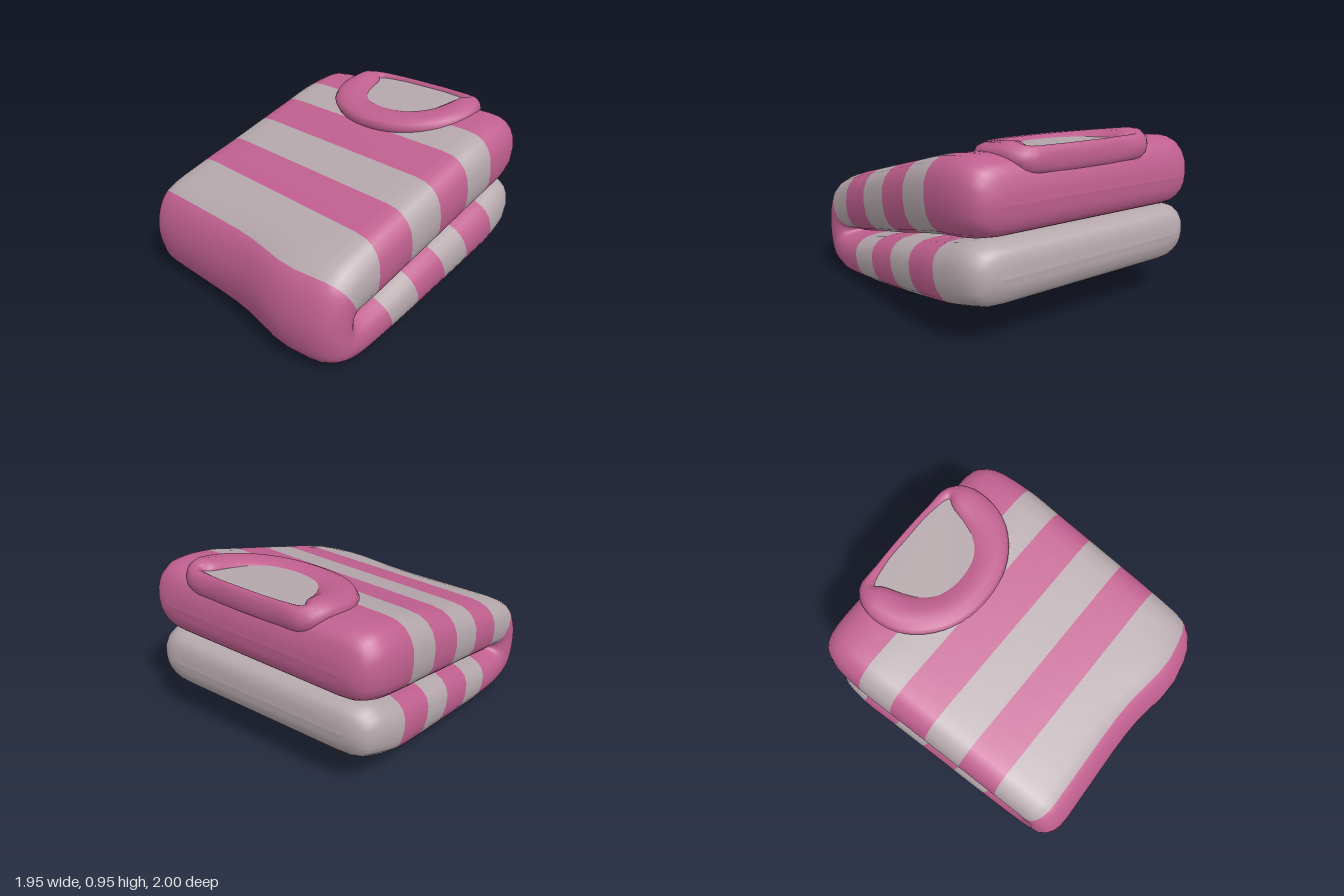
import * as THREE from 'three';

const pink = new THREE.MeshStandardMaterial({ color: 0xc0608f });
pink.name = 'pinkKnit';
const grey = new THREE.MeshStandardMaterial({ color: 0xb5a8ac });
grey.name = 'greyKnit';
const { smoothstep, lerp } = THREE.MathUtils;

// Joins rings of points into a smooth skin; colourOf(i) picks the material of each band
function loft(rings, closed, colourOf) {
  const n = rings[0].length, index = [];
  const geo = new THREE.BufferGeometry();
  const bands = closed ? rings.length : rings.length - 1;
  for (let i = 0; i < bands; i++) {
    const next = (i + 1) % rings.length;
    geo.addGroup(index.length, n * 6, colourOf(i));
    for (let j = 0; j < n; j++) {
      const k = (j + 1) % n;
      const a = i * n + j, b = next * n + j, c = next * n + k, d = i * n + k;
      index.push(a, b, c, a, c, d);
    }
  }
  geo.setFromPoints(rings.flat());
  geo.setIndex(index);
  geo.computeVertexNormals();
  return geo;
}

// Fold stations: outer z, outer y, inner z, inner y, half width, colour (0 pink, 1 grey)
const stations = [
  [-0.80, 0.37, -0.80, 0.37, 0.53, 1],
  [-0.79, 0.30, -0.79, 0.45, 0.61, 1],
  [-0.75, 0.235, -0.76, 0.50, 0.67, 1],
  [-0.67, 0.21, -0.68, 0.525, 0.71, 1],
  [-0.57, 0.185, -0.49, 0.475, 0.73, 0],
  [-0.36, 0.14, -0.26, 0.42, 0.73, 1],
  [-0.17, 0.105, -0.06, 0.38, 0.73, 0],
  [0.06, 0.065, 0.15, 0.33, 0.73, 1],
  [0.26, 0.035, 0.36, 0.275, 0.73, 0],
  [0.55, 0.008, 0.48, 0.255, 0.73, 0],
  [0.72, 0.06, 0.52, 0.255, 0.73, 0],
  [0.775, 0.20, 0.53, 0.26, 0.73, 0],
  [0.765, 0.37, 0.53, 0.265, 0.73, 0],
  [0.69, 0.51, 0.52, 0.27, 0.73, 1],
  [0.41, 0.625, 0.41, 0.285, 0.73, 0],
  [0.19, 0.69, 0.16, 0.345, 0.73, 1],
  [-0.03, 0.755, -0.06, 0.395, 0.73, 0],
  [-0.255, 0.82, -0.28, 0.45, 0.73, 1],
  [-0.455, 0.875, -0.48, 0.495, 0.73, 0],
  [-0.66, 0.90, -0.67, 0.53, 0.71, 0],
  [-0.75, 0.865, -0.755, 0.56, 0.67, 0],
  [-0.79, 0.78, -0.79, 0.62, 0.61, 0],
  [-0.80, 0.70, -0.80, 0.70, 0.53, 0],
];

// Cloth irregularity: askew stripes, a bulge in the front fold, a top that leans to one side
function relax(p) {
  const front = smoothstep(p.z, 0.45, 0.75);
  const bulge = 0.06 * Math.exp(-(((p.x - 0.42) / 0.25) ** 2)) - 0.02;
  p.z += 0.04 * p.x * smoothstep(p.z, -0.8, -0.4) * (1 - front) + bulge * front;
  p.y += (0.025 * p.x - 0.008) * smoothstep(p.y, 0.3, 0.7);
  return p;
}

// Folded body: flat rounded sections between the outer and inner fold lines
function foldedBody() {
  const outer = new THREE.CatmullRomCurve3(stations.map(s => new THREE.Vector3(s[4], s[1], s[0])));
  const inner = new THREE.CatmullRomCurve3(stations.map(s => new THREE.Vector3(s[4], s[3], s[2])));
  const steps = 4, total = (stations.length - 1) * steps, half = 10, across = 10, round = 0.17;
  const soft = v => Math.sign(v) * Math.abs(v) ** 0.8;
  const rings = [];
  for (let i = 0; i <= total; i++) {
    const o = outer.getPoint(i / total), q = inner.getPoint(i / total), ring = [];
    const flat = o.x - round;
    for (const side of [1, -1]) {
      // rounded side edge
      for (let j = 0; j <= half; j++) {
        const a = side * (j / half - 0.5) * Math.PI;
        const p = q.clone().lerp(o, 0.5 + 0.5 * soft(Math.sin(a)));
        p.x = side * (flat + round * soft(Math.max(0, Math.cos(a))));
        ring.push(relax(p));
      }
      // flat face to the other side
      for (let j = 1; j < across; j++) {
        const p = (side > 0 ? o : q).clone();
        p.x = side * lerp(flat, -flat, j / across);
        ring.push(relax(p));
      }
    }
    rings.push(ring);
  }
  return loft(rings, false, i => stations[Math.floor(i / steps)][5]);
}

// Neckline path: x, band half width, z
const right = [[0.19, 0.11, -0.365], [0.325, 0.11, -0.49], [0.365, 0.09, -0.64],
  [0.345, 0.05, -0.74], [0.2, 0.025, -0.765]];
const neckPath = new THREE.CatmullRomCurve3([
  [0, 0.11, -0.325], ...right, [0, 0.025, -0.77],
  ...right.map(([x, w, z]) => [-x, w, z]).reverse(),
].map(p => new THREE.Vector3(...p)), true);

// Collar: a padded band that follows the neckline, thin and upright at the back
function collarBand() {
  const rings = [], count = 60, sides = 12;
  for (let i = 0; i < count; i++) {
    const p = neckPath.getPoint(i / count), t = neckPath.getTangent(i / count);
    const len = Math.hypot(t.x, t.z), ox = -t.z / len, oz = t.x / len;
    const back = smoothstep(-p.z, 0.68, 0.76);
    const y = 0.835 + 0.06 * Math.min(1, (-0.325 - p.z) / 0.33) - 0.025 * back + 0.02 * p.x;
    const ring = [];
    for (let j = 0; j < sides; j++) {
      const a = j / sides * Math.PI * 2, r = p.y * Math.cos(a);
      ring.push(new THREE.Vector3(p.x + ox * r, y + (0.055 + 0.01 * back) * Math.sin(a), p.z + oz * r));
    }
    rings.push(ring);
  }
  return loft(rings, true, () => 0);
}

// Lining seen through the neck opening
function neckLining() {
  const pts = neckPath.getPoints(40).slice(0, 40)
    .map(p => new THREE.Vector2(p.x * 0.92, -(p.z + 0.58) * 0.92 + 0.58));
  const geo = new THREE.ShapeGeometry(new THREE.Shape(pts));
  geo.rotateX(-Math.PI / 2);
  const pos = geo.attributes.position;
  for (let i = 0; i < pos.count; i++) {
    pos.setY(i, 0.845 - 0.09 * pos.getZ(i) + 0.025 * pos.getX(i));
  }
  geo.computeVertexNormals();
  return geo;
}

export function createModel() {
  const model = new THREE.Group();
  model.name = 'foldedSweater';

  const body = new THREE.Mesh(foldedBody(), [pink, grey]);
  body.name = 'stripedBody';
  body.position.x = 0.006;

  const collar = new THREE.Mesh(collarBand(), [pink]);
  collar.name = 'collar';
  collar.position.x = 0.04;

  const lining = new THREE.Mesh(neckLining(), grey);
  lining.name = 'neckLining';
  lining.position.x = 0.04;

  // The sweater lies turned on the ground
  const turned = new THREE.Group();
  turned.name = 'sweater';
  turned.rotation.y = -0.57;
  turned.add(body, collar, lining);
  model.add(turned);
  return model;
}
